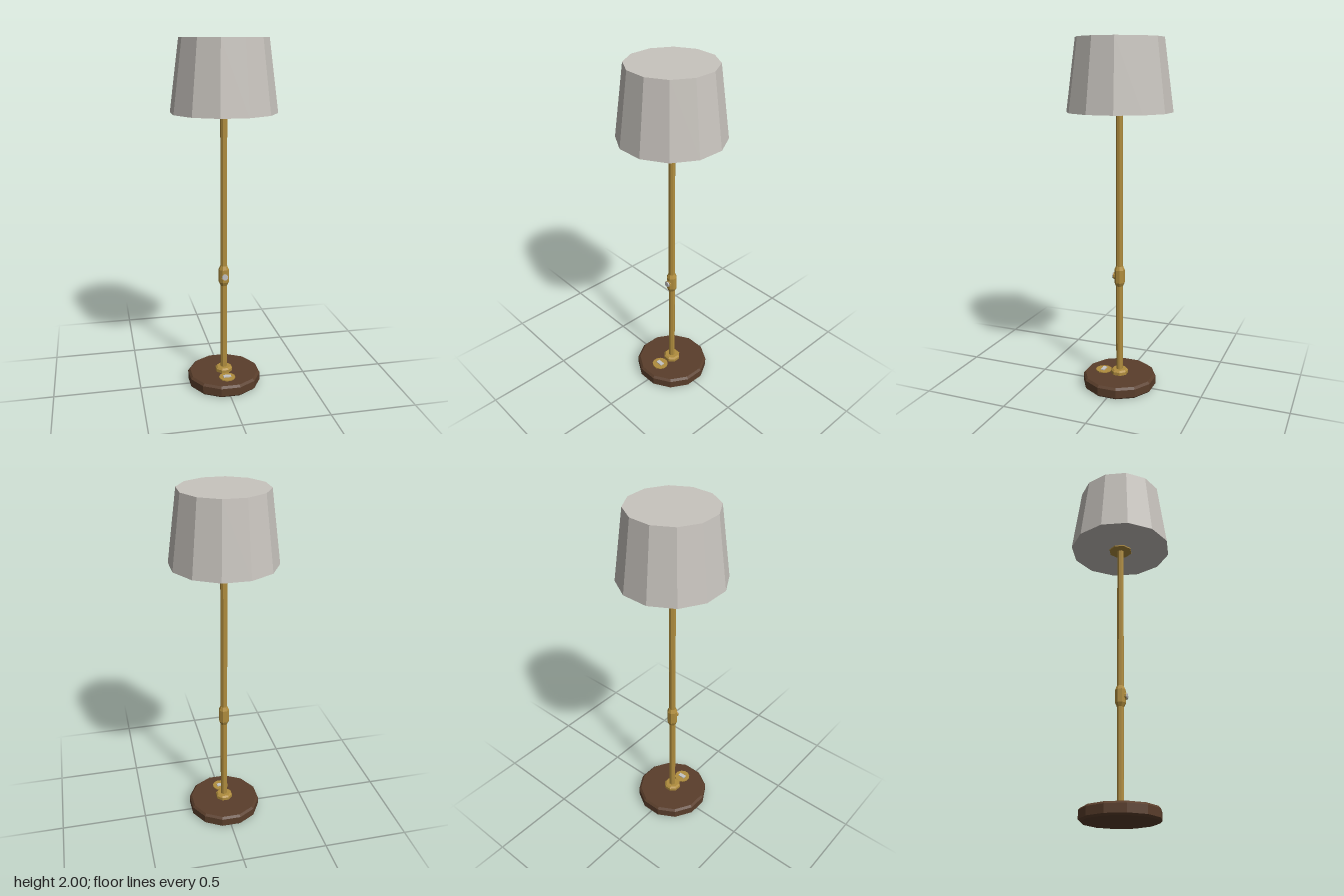
import * as THREE from 'three';

const material = (name, color) => {
  const m = new THREE.MeshStandardMaterial({ color });
  m.name = name;
  m.flatShading = true;
  return m;
};

export function createModel() {
  const lamp = new THREE.Group();
  lamp.name = 'floorLamp';

  const fabric = material('greyFabric', 0xc8c4be);
  const brass = material('brass', 0xb08d3e);
  const wood = material('darkWood', 0x5a3e2b);
  const steel = material('paleSteel', 0xc4c4c4);

  // Faceted turned part: profile of [apothem, y] from bottom to top, closed on the axis,
  // with flat faces square to the axes
  const turned = (name, mat, sides, profile) => {
    const k = 1 / Math.cos(Math.PI / sides);
    const pts = [[0, profile[0][1]], ...profile, [0, profile[profile.length - 1][1]]]
      .map(([r, y]) => new THREE.Vector2(r * k, y));
    const mesh = new THREE.Mesh(
      new THREE.LatheGeometry(pts, sides, Math.PI / sides), mat);
    mesh.name = name;
    lamp.add(mesh);
    return mesh;
  };

  // Base with bevelled rims
  turned('base', wood, 12, [[0.198, 0], [0.208, 0.01], [0.208, 0.056], [0.196, 0.068]]);
  turned('baseCollar', brass, 8, [[0.047, 0.068], [0.047, 0.086], [0.038, 0.095]]);

  // Foot switch on the base, towards the front
  turned('footSwitchPlate', brass, 12, [[0.046, 0.066], [0.046, 0.074]]).position.z = 0.1;
  const pedal = new THREE.Mesh(new THREE.BoxGeometry(0.044, 0.008, 0.024), steel);
  pedal.name = 'footSwitchPedal';
  pedal.position.set(0, 0.076, 0.1);
  lamp.add(pedal);

  // Pole
  turned('pole', brass, 8, [[0.018, 0.08], [0.018, 1.604]]);

  // Switch housing on the pole, with a collar and button facing forward
  turned('switchHousing', brass, 8,
    [[0.019, 0.61], [0.028, 0.632], [0.028, 0.708], [0.019, 0.73]]);
  const facing = (mesh) => {
    mesh.rotation.x = Math.PI / 2;
    mesh.position.y = 0.67;
  };
  facing(turned('buttonCollar', brass, 8, [[0.019, 0.02], [0.019, 0.033]]));
  facing(turned('button', steel, 8, [[0.016, 0.03], [0.016, 0.041]]));

  // Shade and the plate holding it
  turned('shadePlate', brass, 8, [[0.063, 1.598], [0.063, 1.612]]);
  turned('shade', fabric, 12, [[0.284, 1.605], [0.233, 2]]);

  return lamp;
}
